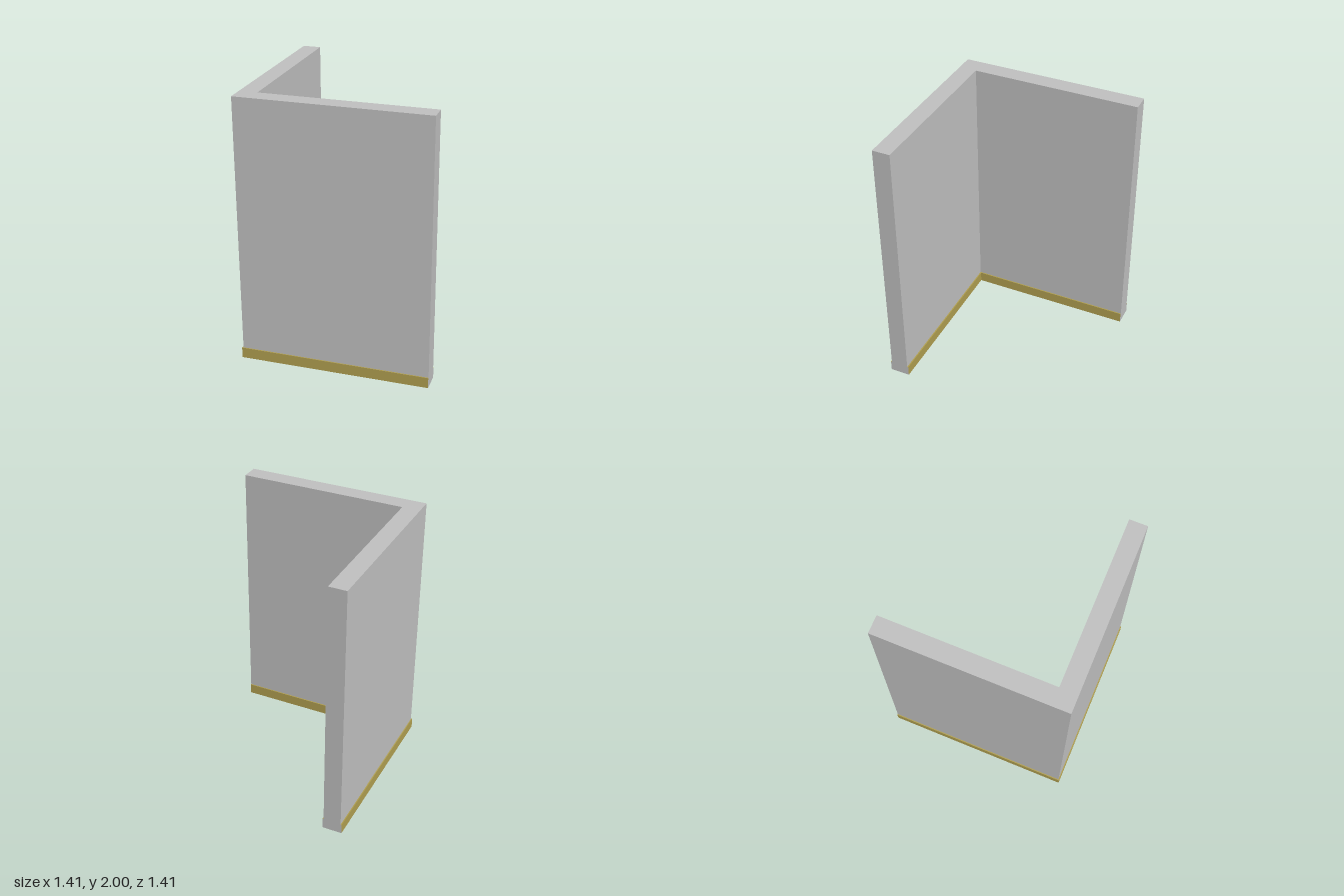
import * as THREE from 'three';

const EDGE = 0.704;    // open wall ends and outer face of the skirting
const OUTER = 0.696;   // outer wall face
const INNER = 0.562;   // inner wall face
const LIP = 0.553;     // inner face of the skirting
const HEIGHT = 2;
const SKIRT = 0.08;

export function createModel() {
  const group = new THREE.Group();
  const plaster = new THREE.MeshStandardMaterial({ name: 'plaster grey', color: 0xc0c0c0 });
  const ochre = new THREE.MeshStandardMaterial({ name: 'ochre', color: 0xb09f50 });

  // L-shaped corner wall, drawn in plan (shape y = -z) and raised
  const plan = new THREE.Shape([
    [-OUTER, -OUTER], [EDGE, -OUTER], [EDGE, -INNER],
    [-INNER, -INNER], [-INNER, EDGE], [-OUTER, EDGE],
  ].map(([x, y]) => new THREE.Vector2(x, y)));
  const wallGeometry = new THREE.ExtrudeGeometry(plan, { depth: HEIGHT, bevelEnabled: false });
  wallGeometry.rotateX(-Math.PI / 2);
  const wall = new THREE.Mesh(wallGeometry, plaster);
  wall.name = 'cornerWall';
  group.add(wall);

  // Skirting strips: ochre, with plain undersides and cut ends
  const addStrip = (name, x0, x1, z0, z1, cutFace) => {
    const materials = Array(6).fill(ochre);   // +x, -x, +y, -y, +z, -z
    materials[3] = plaster;
    materials[cutFace] = plaster;
    const strip = new THREE.Mesh(new THREE.BoxGeometry(x1 - x0, SKIRT, z1 - z0), materials);
    strip.position.set((x0 + x1) / 2, SKIRT / 2, (z0 + z1) / 2);
    strip.name = name;
    group.add(strip);
  };
  addStrip('frontOuterSkirting', -EDGE, EDGE, OUTER, EDGE, 0);
  addStrip('frontInnerSkirting', -INNER, EDGE, LIP, INNER, 0);
  addStrip('sideOuterSkirting', -EDGE, -OUTER, -EDGE, OUTER, 5);
  addStrip('sideInnerSkirting', -INNER, -LIP, -EDGE, LIP, 5);

  return group;
}
